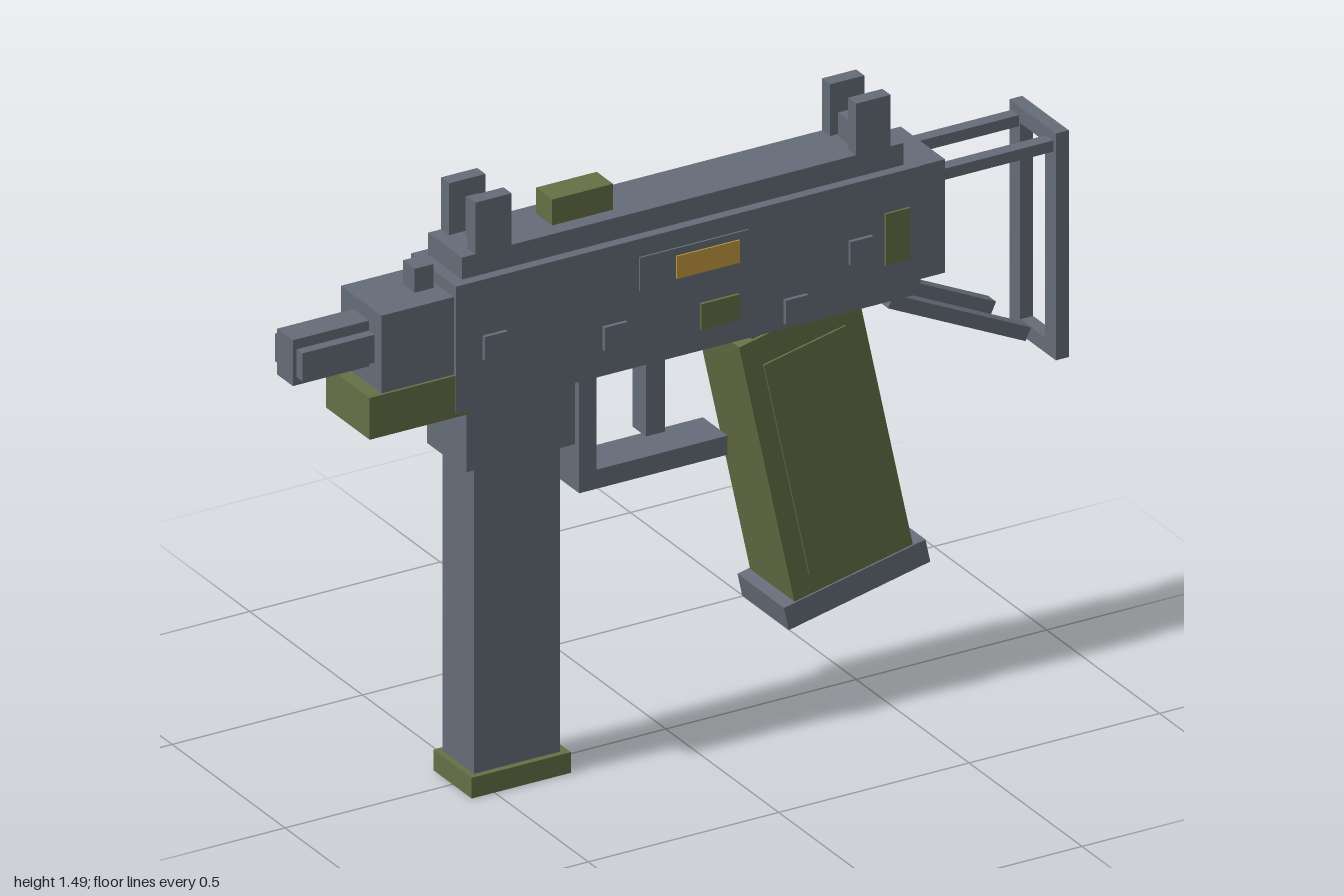
import * as THREE from 'three';

const flat = (name, color) => {
  const m = new THREE.MeshStandardMaterial({ color });
  m.name = name;
  return m;
};

export function createModel() {
  const steel = flat('steel grey', 0x656c78);
  const olive = flat('olive', 0x656f46);
  const brass = flat('brass', 0xc2963f);
  const root = new THREE.Group();
  root.name = 'model';

  // Box given by its limits along each axis
  const box = (name, mat, x0, x1, y0, y1, z0, z1, parent = root) => {
    const mesh = new THREE.Mesh(new THREE.BoxGeometry(x1 - x0, y1 - y0, z1 - z0), mat);
    mesh.position.set((x0 + x1) / 2, (y0 + y1) / 2, (z0 + z1) / 2);
    mesh.name = name;
    parent.add(mesh);
    return mesh;
  };
  // Box centred on z = 0
  const mid = (name, mat, x0, x1, y0, y1, hz, parent) => box(name, mat, x0, x1, y0, y1, -hz, hz, parent);
  // The same box on both sides
  const pair = (name, mat, x0, x1, y0, y1, z0, z1, parent) => [
    box(name + 'Left', mat, x0, x1, y0, y1, z0, z1, parent),
    box(name + 'Right', mat, x0, x1, y0, y1, -z1, -z0, parent),
  ];

  // Body
  mid('receiver', steel, -0.61, 0.61, 0.985, 1.305, 0.1);
  mid('topRail', steel, -0.58, 0.58, 1.305, 1.36, 0.075);
  mid('rearCap', steel, 0.61, 0.675, 1.02, 1.305, 0.098);
  mid('frontBlock', steel, -0.8, -0.61, 1.08, 1.275, 0.09);
  mid('foreGrip', olive, -0.835, -0.575, 0.975, 1.08, 0.097);
  mid('railKnob', olive, -0.32, -0.16, 1.36, 1.425, 0.036);

  // Barrel with a cross-shaped section
  mid('barrelCore', steel, -1, -0.8, 1.125, 1.24, 0.035);
  mid('barrelSides', steel, -0.99, -0.8, 1.145, 1.215, 0.06);

  // Sights
  mid('barrelBead', steel, -0.675, -0.625, 1.275, 1.335, 0.026);
  pair('frontSightWing', steel, -0.545, -0.45, 1.36, 1.49, 0.04, 0.076);
  mid('frontSightPost', steel, -0.517, -0.483, 1.36, 1.46, 0.016);
  pair('rearSightWing', steel, 0.455, 0.545, 1.36, 1.49, 0.04, 0.076);
  mid('rearSightPost', steel, 0.47, 0.53, 1.36, 1.42, 0.03);

  // Magazine
  mid('magazineWell', steel, -0.575, -0.29, 0.825, 0.985, 0.088);
  mid('magazine', steel, -0.545, -0.32, 0.05, 0.825, 0.07);
  mid('magazineBase', olive, -0.56, -0.3, 0, 0.052, 0.085);

  // Trigger and its guard
  mid('guardFront', steel, -0.26, -0.215, 0.68, 0.985, 0.055);
  mid('guardBottom', steel, -0.215, 0.13, 0.68, 0.728, 0.055);
  mid('trigger', steel, -0.07, -0.02, 0.765, 0.985, 0.03);

  // Raked grip, built upright and then tilted about its foot
  const grip = new THREE.Group();
  grip.name = 'grip';
  grip.position.set(0.435, 0.325, 0);
  grip.rotation.z = 0.212;
  root.add(grip);
  mid('gripBody', olive, -0.159, 0.159, 0, 0.69, 0.098, grip);
  mid('gripTop', olive, -0.12, 0.13, 0.69, 0.75, 0.09, grip);
  pair('gripPanel', olive, -0.11, 0.11, 0.05, 0.62, 0.097, 0.103, grip);
  mid('gripBase', steel, -0.19, 0.19, -0.06, 0, 0.103, grip);

  // Side details
  pair('sidePanel', steel, -0.13, 0.155, 1.175, 1.26, 0.099, 0.105);
  pair('brassPlate', brass, -0.035, 0.13, 1.185, 1.242, 0.102, 0.109);
  pair('selector', olive, 0.03, 0.13, 1.04, 1.105, 0.1, 0.108);
  pair('rearPlate', olive, 0.515, 0.58, 1.08, 1.21, 0.1, 0.106);
  for (const [x, y] of [[-0.51, 1.135], [-0.195, 1.08], [0.28, 1.03], [0.45, 1.135]]) {
    pair('pin', steel, x - 0.03, x + 0.03, y - 0.03, y + 0.03, 0.1, 0.11);
  }

  // Folding stock
  pair('stockArm', steel, 0.675, 0.965, 1.25, 1.278, 0.06, 0.092);
  for (const strut of pair('stockStrut', steel, 0.51, 0.91, 0.878, 0.912, 0.06, 0.095)) {
    strut.position.x = 0.715;
    strut.rotation.z = -0.445;
  }
  pair('buttSide', steel, 0.963, 0.997, 0.73, 1.3, 0.055, 0.103);
  mid('buttTop', steel, 0.963, 0.997, 1.26, 1.3, 0.055);
  mid('buttBottom', steel, 0.963, 0.997, 0.73, 0.767, 0.055);

  return root;
}
